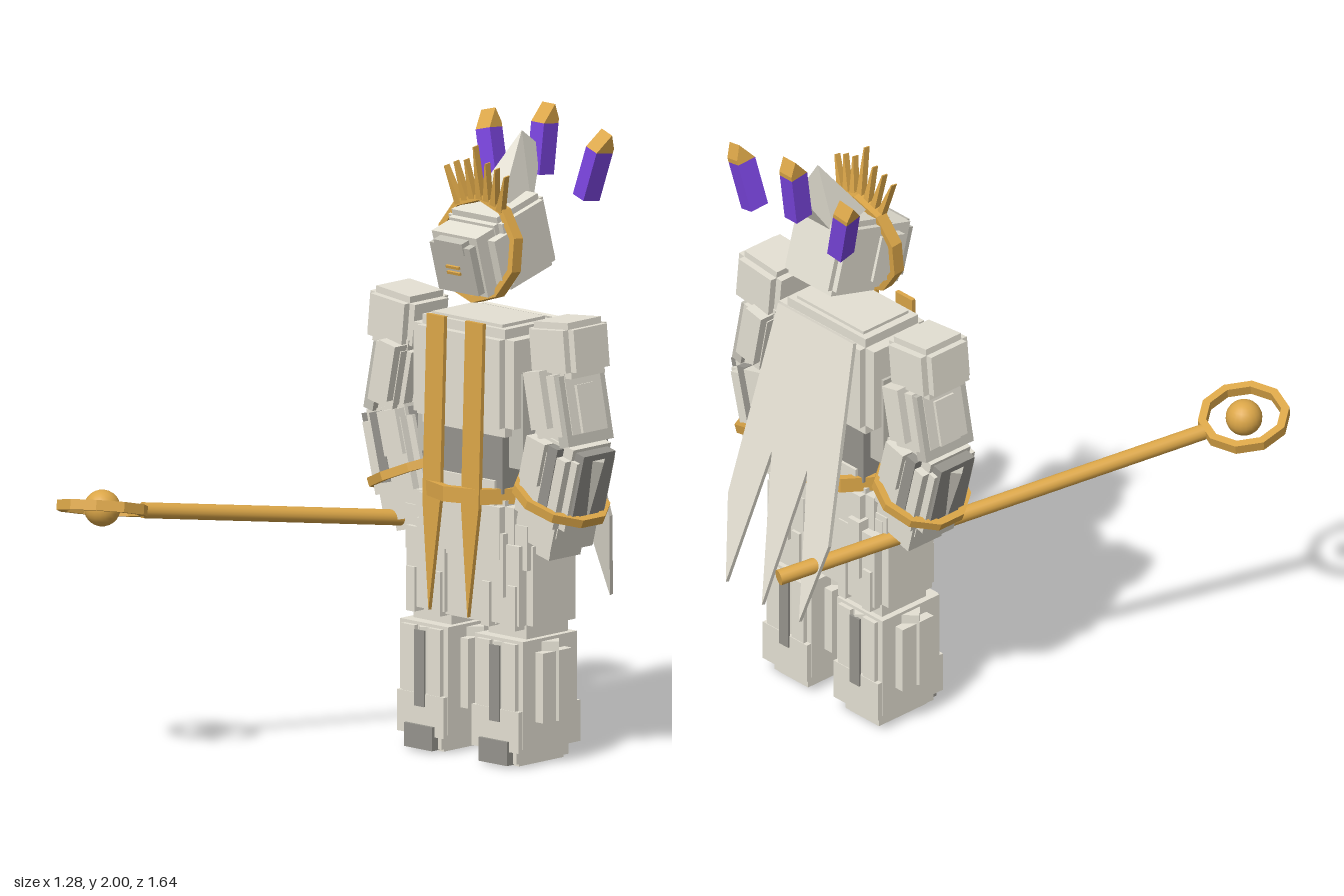
import * as THREE from 'three';
import { ConvexGeometry } from 'three/addons/geometries/ConvexGeometry.js';

const mat = (name, color) => new THREE.MeshStandardMaterial({ name, color });
const stone = mat('pale stone', 0xe4e0d3);
const midStone = mat('mid stone', 0xc6c3b8);
const darkStone = mat('dark stone', 0x96948d);
const gold = mat('gold', 0xdba648);
const purple = mat('purple', 0x7a45de);

function add(parent, name, geo, material, x = 0, y = 0, z = 0) {
  const m = new THREE.Mesh(geo, material);
  m.name = name;
  m.position.set(x, y, z);
  parent.add(m);
  return m;
}

function group(parent, name, x = 0, y = 0, z = 0) {
  const g = new THREE.Group();
  g.name = name;
  g.position.set(x, y, z);
  parent.add(g);
  return g;
}

const box = (p, name, m, w, h, d, x, y, z) => add(p, name, new THREE.BoxGeometry(w, h, d), m, x, y, z);

// Block with stepped edges: three boxes, each full length along one axis
function stepped(p, name, m, w, h, d, x, y, z, k = 0.76) {
  const g = group(p, name, x, y, z);
  box(g, name + 'Wide', m, w, h * k, d * k, 0, 0, 0);
  box(g, name + 'Tall', m, w * k, h, d * k, 0, 0, 0);
  box(g, name + 'Deep', m, w * k, h * k, d, 0, 0, 0);
  return g;
}

function flat(geo) {
  const g = geo.index ? geo.toNonIndexed() : geo;
  g.computeVertexNormals();
  return g;
}

// Faceted band around y, rectangular in section
function band(inner, outer, h, sides = 10) {
  const pts = [[inner, -h], [outer, -h], [outer, h], [inner, h], [inner, -h]];
  return flat(new THREE.LatheGeometry(pts.map(([r, y]) => new THREE.Vector2(r, y)), sides));
}

function plate(points, depth) {
  const s = new THREE.Shape(points.map(([x, y]) => new THREE.Vector2(x, y)));
  return new THREE.ExtrudeGeometry(s, { depth, bevelEnabled: false });
}

function buildTorso(body) {
  const t = group(body, 'torso');
  stepped(t, 'chest', stone, 0.43, 0.34, 0.27, 0, 1.2, 0, 0.82);
  box(t, 'collar', stone, 0.3, 0.04, 0.19, 0, 1.36, 0);
  box(t, 'ribs', midStone, 0.45, 0.3, 0.16, 0, 1.08, 0);
  box(t, 'waist', darkStone, 0.33, 0.2, 0.22, 0, 0.95, 0);
  box(t, 'abdomen', stone, 0.28, 0.12, 0.24, 0, 0.83, 0);
  stepped(t, 'hips', stone, 0.42, 0.2, 0.26, 0, 0.73, 0, 0.82);
  box(t, 'pelvis', stone, 0.26, 0.3, 0.2, 0, 0.585, 0);
  // Belt
  add(t, 'belt', band(0.178, 0.203, 0.024, 10), gold, 0, 0.842, 0);
  // Two pointed sashes hanging down the front
  for (const s of [-1, 1]) {
    const pts = [[0.045, 0], [0.12, 0], [0.12, -0.58], [0.083, -0.925], [0.045, -0.58]];
    const sash = add(t, 'sash', plate(pts.map(([x, y]) => [s * x, y]), 0.014), gold, 0, 1.385, 0.137);
    sash.rotation.x = -0.033;
  }
  // Cape with three points
  const half = [[0.226, -0.66], [0.165, -0.935], [0.08, -0.46], [0, -0.945]];
  const left = half.slice(0, 3).reverse().map(([x, y]) => [-x, y]);
  const cape = add(t, 'cape', plate([[-0.17, 0], [0.17, 0], ...half, ...left], 0.014), stone, 0, 1.37, -0.157);
  cape.rotation.x = 0.243;
}

function buildArm(body, s) {
  const arm = group(body, s > 0 ? 'leftArm' : 'rightArm');
  const shoulder = stepped(arm, 'shoulder', stone, 0.192, 0.175, 0.195, s * 0.345, 1.325, 0, 0.76);
  shoulder.rotation.z = s * 0.1;

  const upper = group(arm, 'upperArm', s * 0.345, 1.15, 0);
  upper.rotation.z = s * 0.2;
  stepped(upper, 'upperArmCore', stone, 0.145, 0.26, 0.21, 0, 0, 0, 0.74);
  box(upper, 'upperArmFlap', stone, 0.07, 0.18, 0.265, -s * 0.015, 0.025, 0);
  box(upper, 'upperArmRib', midStone, 0.04, 0.22, 0.2, s * 0.05, -0.02, 0);
  box(upper, 'upperArmSide', stone, 0.165, 0.15, 0.08, 0, -0.02, 0);

  const fore = group(arm, 'forearm', s * 0.325, 0.9, 0);
  fore.rotation.z = -s * 0.25;
  stepped(fore, 'forearmCore', stone, 0.22, 0.3, 0.22, 0, 0, 0, 0.76);
  box(fore, 'forearmFlap', stone, 0.08, 0.14, 0.25, -s * 0.04, 0.07, 0);
  box(fore, 'forearmInset', darkStone, 0.04, 0.22, 0.225, s * 0.025, 0.03, 0);
  box(fore, 'forearmPanel', darkStone, 0.24, 0.22, 0.14, 0, 0.03, 0);
  box(fore, 'cuff', stone, 0.16, 0.1, 0.19, 0, -0.15, 0);
  box(fore, 'hand', stone, 0.12, 0.09, 0.14, 0, -0.19, 0);
  // Ridged fin along the outer side
  const fin = add(fore, 'forearmFin', flat(new THREE.CylinderGeometry(0.055, 0.035, 0.2, 4)),
    midStone, s * 0.088, 0.02, 0);
  fin.scale.z = 1.2;

  const bracelet = add(arm, 'bracelet', band(0.132, 0.156, 0.014, 10), gold, s * 0.31, 0.845, 0);
  bracelet.rotation.z = -s * 0.4;
}

function buildLeg(body, s) {
  const leg = group(body, s > 0 ? 'leftLeg' : 'rightLeg', s * 0.16, 0, 0);
  // Thigh
  stepped(leg, 'thigh', stone, 0.22, 0.34, 0.25, 0, 0.57, -0.01, 0.74);
  box(leg, 'thighBar', stone, 0.05, 0.2, 0.275, 0, 0.63, -0.01);
  for (const k of [-1, 1]) box(leg, 'thighRidge', stone, 0.035, 0.14, 0.27, k * 0.055, 0.5, -0.01);
  box(leg, 'hipCap', stone, 0.2, 0.14, 0.2, 0, 0.69, 0);
  // Shin, with a turned block forming its angled sides
  box(leg, 'shinCore', stone, 0.205, 0.34, 0.24, 0, 0.23, 0);
  const turned = box(leg, 'shinTurnedBlock', stone, 0.2, 0.25, 0.2, 0, 0.265, 0);
  turned.rotation.y = Math.PI / 4;
  box(leg, 'shinSides', stone, 0.27, 0.22, 0.13, 0, 0.25, 0);
  for (const k of [-1, 1]) {
    box(leg, 'shinRidge', stone, 0.055, 0.24, 0.27, k * 0.055, 0.27, 0);
    box(leg, 'shinFrontSlot', darkStone, 0.042, 0.24, 0.008, 0, 0.26, k * 0.139);
  }
  box(leg, 'ankle', stone, 0.2, 0.13, 0.275, 0, 0.115, 0);
  // Foot
  box(leg, 'foot', stone, 0.15, 0.1, 0.23, 0, 0.06, 0.005);
  box(leg, 'toe', darkStone, 0.12, 0.075, 0.06, 0, 0.045, 0.118);
  box(leg, 'sole', stone, 0.13, 0.02, 0.2, 0, 0.01, 0);
}

function buildHead(body) {
  const head = group(body, 'head', 0, 1.605, -0.035);
  head.rotation.x = 0.27;
  stepped(head, 'skull', stone, 0.23, 0.245, 0.225, 0, 0, -0.025, 0.84);
  box(head, 'cheeks', stone, 0.25, 0.15, 0.1, 0, -0.005, 0.075);
  box(head, 'faceSurround', stone, 0.19, 0.2, 0.08, 0, -0.005, 0.13);
  box(head, 'face', midStone, 0.17, 0.16, 0.04, 0, -0.01, 0.178);
  box(head, 'brow', midStone, 0.12, 0.04, 0.04, 0, 0.065, 0.183);
  for (const y of [-0.022, -0.002]) box(head, 'mouthLine', gold, 0.055, 0.009, 0.009, 0, y, 0.201);

  // Swept-back crest narrowing to a ridge
  const pts = [[-0.06, 1.74, 0], [0.06, 1.74, 0], [-0.06, 1.7, -0.13], [0.06, 1.7, -0.13],
    [0, 1.935, -0.148], [0, 1.87, -0.235]];
  add(body, 'crest', flat(new ConvexGeometry(pts.map((p) => new THREE.Vector3(...p)))), stone);

  // Halo ring around the face with a fan of tapering spikes on top
  const halo = group(body, 'halo', 0, 1.592, 0.04);
  halo.rotation.x = -0.1;
  add(halo, 'haloRing', band(0.15, 0.17, 0.02, 10), gold).rotation.x = Math.PI / 2;
  for (let i = -3; i <= 3; i++) {
    const a = i * 0.2;
    const len = i === 0 ? 0.17 : 0.125;
    const pivot = group(halo, 'haloSpike', 0.155 * Math.sin(a), 0.155 * Math.cos(a), 0.01);
    pivot.rotation.set(0.24, 0, -a * 0.55);
    add(pivot, 'spike', plate([[-0.012, 0], [0.012, 0], [0.002, len], [-0.002, len]], 0.022), gold, 0, 0, -0.011);
  }

  // Three floating prisms with wedge tips
  for (const s of [-1, 0, 1]) {
    const f = group(body, 'floatingPrism', s * 0.215, s ? 1.815 : 1.865, -0.24);
    f.rotation.set(-0.13, -s * 0.12, -s * 0.27);
    box(f, 'prismShaft', purple, 0.055, 0.16, 0.065, 0, 0, 0);
    const tip = add(f, 'prismTip', plate([[-0.0325, 0], [0.0325, 0], [0.0325, 0.015], [0.01, 0.06]], 0.055),
      gold, -0.0275, 0.08, 0);
    tip.rotation.y = Math.PI / 2;
  }
}

function buildStaff(root) {
  const a = new THREE.Vector3(0.015, 0.635, -0.805);
  const b = new THREE.Vector3(-0.45, 0.81, 0.55);
  const dir = b.clone().sub(a);
  const mid = a.clone().add(b).multiplyScalar(0.5);
  const up = new THREE.Vector3(0, 1, 0);
  const staff = group(root, 'staff');
  const shaft = add(staff, 'staffShaft', new THREE.CylinderGeometry(0.025, 0.025, dir.length(), 16),
    gold, mid.x, mid.y, mid.z);
  shaft.quaternion.setFromUnitVectors(up, dir.normalize());
  const ring = add(staff, 'staffRing', band(0.117, 0.143, 0.016, 10), gold, -0.496, 0.83, 0.68);
  ring.quaternion.setFromUnitVectors(up, new THREE.Vector3(-0.14, 1, -0.24).normalize());
  add(staff, 'staffOrb', new THREE.SphereGeometry(0.057, 20, 14), gold, -0.496, 0.83, 0.68);
}

export function createModel() {
  const root = new THREE.Group();
  root.name = 'stoneGuardian';
  const body = group(root, 'body', 0.155, 0, -0.362);
  buildTorso(body);
  for (const s of [-1, 1]) {
    buildArm(body, s);
    buildLeg(body, s);
  }
  buildHead(body);
  buildStaff(root);
  return root;
}
